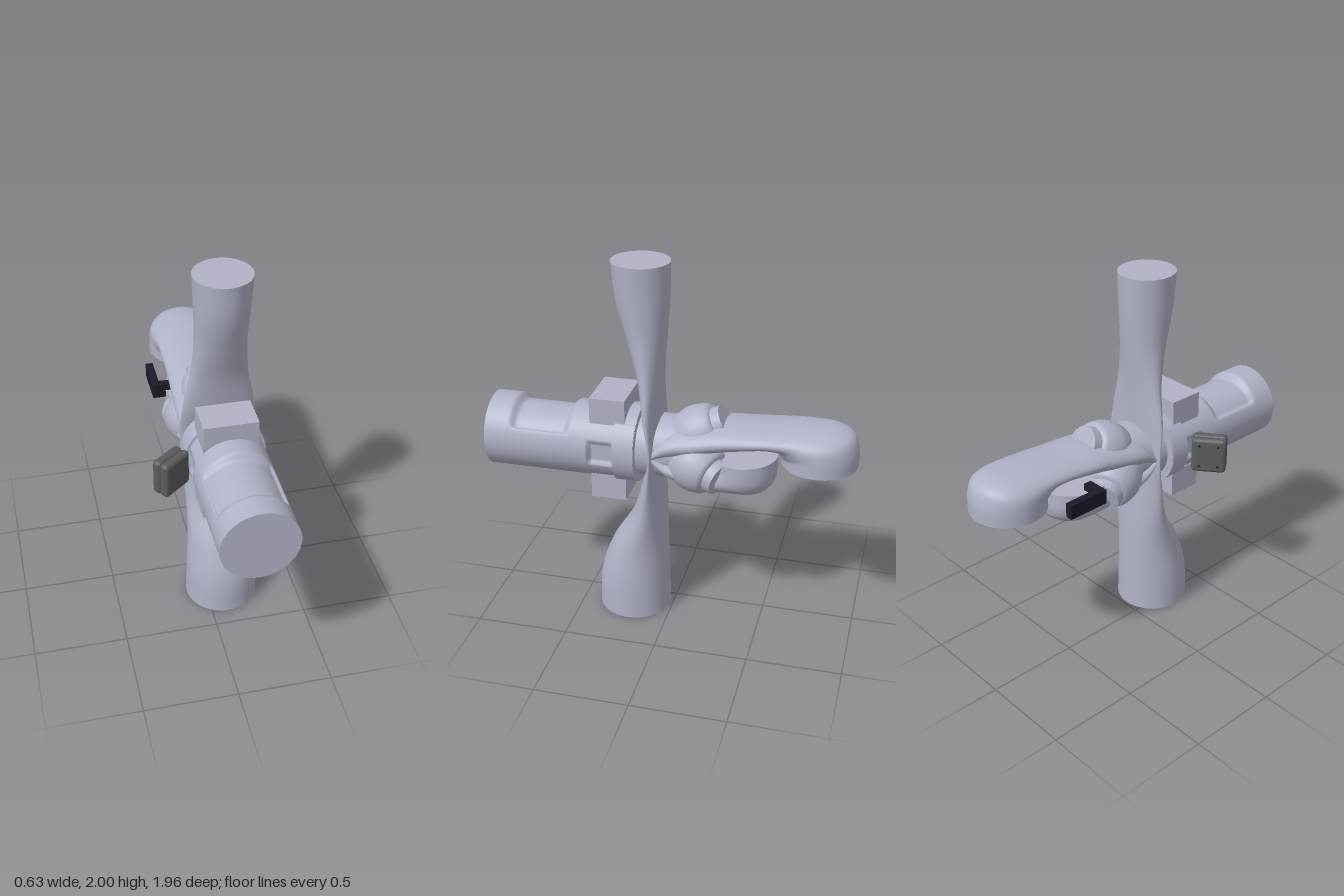
import * as THREE from 'three';
import { RoundedBoxGeometry } from 'three/addons/geometries/RoundedBoxGeometry.js';

const CX = 0.09; // x of the main axis
const V = (x, y, z) => new THREE.Vector3(x, y, z);
const smooth = THREE.MathUtils.smoothstep;

// Closed skin over rings of points, with flat end caps
function skin(rings) {
  const n = rings[0].length, pos = [], idx = [];
  rings.forEach(r => r.forEach(p => pos.push(p.x, p.y, p.z)));
  for (let i = 0; i < rings.length - 1; i++) {
    for (let j = 0; j < n; j++) {
      const a = i * n + j, b = i * n + (j + 1) % n;
      idx.push(a, b, a + n, b, b + n, a + n);
    }
  }
  [rings[0], rings[rings.length - 1]].forEach((r, end) => {
    const base = pos.length / 3;
    const c = r.reduce((s, p) => s.add(p), V(0, 0, 0)).divideScalar(n);
    [...r, c].forEach(p => pos.push(p.x, p.y, p.z));
    for (let j = 0; j < n; j++) {
      const a = base + j, b = base + (j + 1) % n;
      end ? idx.push(a, b, base + n) : idx.push(b, a, base + n);
    }
  });
  // Turn the faces outward if the enclosed volume is negative
  const at = i => V().fromArray(pos, i * 3);
  let vol = 0;
  for (let i = 0; i < idx.length; i += 3) vol += at(idx[i]).dot(at(idx[i + 1]).cross(at(idx[i + 2])));
  if (vol < 0) idx.reverse();
  const g = new THREE.BufferGeometry();
  g.setAttribute('position', new THREE.Float32BufferAttribute(pos, 3));
  g.setIndex(idx);
  g.computeVertexNormals();
  return g;
}

// Elliptic sections spanning two side-profile points: [z1, y1, z2, y2, half width]
function limb(keys, rows = 48, n = 48) {
  const p = new THREE.CatmullRomCurve3(keys.map(k => V(k[4], k[1], k[0])));
  const q = new THREE.CatmullRomCurve3(keys.map(k => V(0, k[3], k[2])));
  const rings = [];
  for (let i = 0; i <= rows; i++) {
    const a = p.getPoint(i / rows), b = q.getPoint(i / rows);
    rings.push(Array.from({ length: n }, (_, j) => {
      const t = j / n * Math.PI * 2, m = (1 + Math.cos(t)) / 2;
      return V(CX + a.x * Math.sin(t), b.y + (a.y - b.y) * m, b.z + (a.z - b.z) * m);
    }));
  }
  return skin(rings);
}

export function createModel() {
  const root = new THREE.Group();
  const mat = (name, color) => Object.assign(new THREE.MeshStandardMaterial({ color }), { name });
  const paint = mat('paleBlueGrey', 0xb0b3c6);
  const grey = mat('darkGrey', 0x5c5c5e);
  const black = mat('nearBlack', 0x1c1b28);
  const add = (name, geo, material, x = 0, y = 0, z = 0, parent = root) => {
    const m = new THREE.Mesh(geo, material);
    m.name = name;
    m.position.set(x, y, z);
    parent.add(m);
    return m;
  };

  // Upper and lower columns, pinched at the hub
  add('column', limb([
    [0.41, 0, 0.015, 0, 0.198], [0.4, 0.2, 0.02, 0.2, 0.193], [0.335, 0.4, 0.025, 0.4, 0.18],
    [0.215, 0.6, 0.035, 0.6, 0.18], [0.15, 0.8, 0.048, 0.8, 0.19], [0.1, 1, 0.055, 1, 0.2],
    [0.14, 1.2, 0.054, 1.2, 0.19], [0.175, 1.4, 0.048, 1.4, 0.153], [0.235, 1.6, 0.03, 1.6, 0.135],
    [0.29, 1.8, 0.015, 1.8, 0.14], [0.312, 2, 0.01, 2, 0.15],
  ], 80), paint);

  // Long rear arm ending in a downward round foot
  add('upperArm', limb([
    [0.08, 1.05, 0.08, 0.95, 0.18], [0, 1.13, 0, 0.97, 0.19], [-0.15, 1.165, -0.1, 0.99, 0.19],
    [-0.3, 1.185, -0.25, 1.03, 0.185], [-0.45, 1.19, -0.4, 1.06, 0.18], [-0.6, 1.2, -0.5, 1.075, 0.18],
    [-0.75, 1.207, -0.56, 1.065, 0.185], [-0.88, 1.2, -0.575, 1.04, 0.195],
    [-0.945, 1.17, -0.58, 1.03, 0.198], [-0.973, 1.1, -0.58, 1.015, 0.2], [-0.975, 1, -0.58, 1, 0.2],
  ], 60), paint);

  // Short rear arm ending in an upward round foot
  add('lowerArm', limb([
    [0.08, 0.95, 0.08, 1.03, 0.18], [0, 0.87, 0, 1, 0.19], [-0.1, 0.83, -0.08, 0.99, 0.19],
    [-0.25, 0.805, -0.13, 0.985, 0.185], [-0.4, 0.8, -0.16, 0.985, 0.185],
    [-0.49, 0.81, -0.17, 0.99, 0.188], [-0.54, 0.85, -0.175, 0.99, 0.19],
    [-0.558, 0.9, -0.18, 0.995, 0.19], [-0.56, 1.003, -0.18, 1.003, 0.19],
  ], 60), paint);

  // Front barrel with a shallow top pocket and side slots
  const rings = [];
  for (let i = 0; i <= 82; i++) {
    const z = 0.16 + i * 0.01;
    const pocket = smooth(z, 0.51, 0.55) * (1 - smooth(z, 0.81, 0.85));
    rings.push(Array.from({ length: 96 }, (_, j) => {
      const t = j / 96 * Math.PI * 2;
      let x = 0.2 * Math.sin(t), y = 0.2 * Math.cos(t);
      if (y > 0.08) y -= 0.035 * pocket * smooth(y, 0.08, 0.125);
      if (z > 0.27 && z < 0.405 && Math.abs(y) < 0.062) x = Math.sign(x) * Math.min(Math.abs(x), 0.175);
      return V(CX + x, 1 + y, z);
    }));
  }
  add('barrel', skin(rings), paint);

  // Hub and collar
  const disc = (name, r, z0, z1) => add(name,
    new THREE.CylinderGeometry(r, r, z1 - z0, 64).rotateX(Math.PI / 2), paint, CX, 1, (z0 + z1) / 2);
  disc('hub', 0.17, -0.08, 0.17);
  disc('collar', 0.21, 0.16, 0.22);
  const a = 0.85, lug = new THREE.Shape();
  lug.absarc(0, 0, 0.214, -a, a);
  lug.absarc(0, 0, 0.214, Math.PI - a, Math.PI + a);
  add('collarLugs', new THREE.ExtrudeGeometry(lug,
    { depth: 0.11, bevelEnabled: false, curveSegments: 24 }), paint, CX, 1, 0.162);

  // Clamp blocks above and below the barrel
  for (const s of [1, -1]) {
    add(s > 0 ? 'topBlock' : 'bottomBlock', new THREE.BoxGeometry(0.285, 0.148, 0.19),
      paint, 0.084, 1 + s * 0.213, 0.315);
  }

  // Three tilted bulges with end caps, spaced around the axis
  const profile = [[0, 0], [0.08, 0.02], [0.125, 0.07], [0.145, 0.14], [0.146, 0.19], [0.13, 0.25], [0.1, 0.285], [0, 0.29]];
  const curve = new THREE.SplineCurve(profile.map(p => new THREE.Vector2(...p)));
  const bulge = new THREE.LatheGeometry(curve.getPoints(32), 40);
  const cap = new THREE.CylinderGeometry(0.088, 0.095, 0.05, 32);
  for (let i = 0; i < 3; i++) {
    const spoke = new THREE.Group();
    spoke.name = 'bulge' + (i + 1);
    spoke.position.set(CX, 1, 0);
    spoke.rotation.z = i * Math.PI * 2 / 3;
    const tilt = new THREE.Group();
    tilt.position.y = 0.01;
    tilt.rotation.x = -Math.PI / 3;
    spoke.add(tilt);
    root.add(spoke);
    add('bulgeBody', bulge, paint, 0, 0, 0, tilt);
    add('bulgeCap', cap, paint, 0, 0.308, 0, tilt);
  }

  // Small rounded box angled beside the barrel
  const box = new THREE.Group();
  box.name = 'sideBox';
  box.position.set(-0.21, 1, 0.347);
  box.rotation.y = 0.67;
  root.add(box);
  add('boxHalf', new RoundedBoxGeometry(0.186, 0.2, 0.052, 4, 0.022), grey, 0, 0, -0.024, box);
  add('boxHalf', new RoundedBoxGeometry(0.186, 0.2, 0.052, 4, 0.022), grey, 0, 0, 0.024, box);
  for (const x of [-0.05, 0.05]) {
    for (const y of [-0.06, 0.06]) {
      add('screw', new THREE.CylinderGeometry(0.006, 0.006, 0.004, 12).rotateX(Math.PI / 2), black, x, y, -0.05, box);
    }
  }

  // Angled lever on the right side
  add('leverArm', new THREE.BoxGeometry(0.04, 0.08, 0.23), black, -0.15, 1, -0.472);
  add('leverFoot', new THREE.BoxGeometry(0.1, 0.08, 0.045), black, -0.1, 1, -0.38);

  return root;
}
